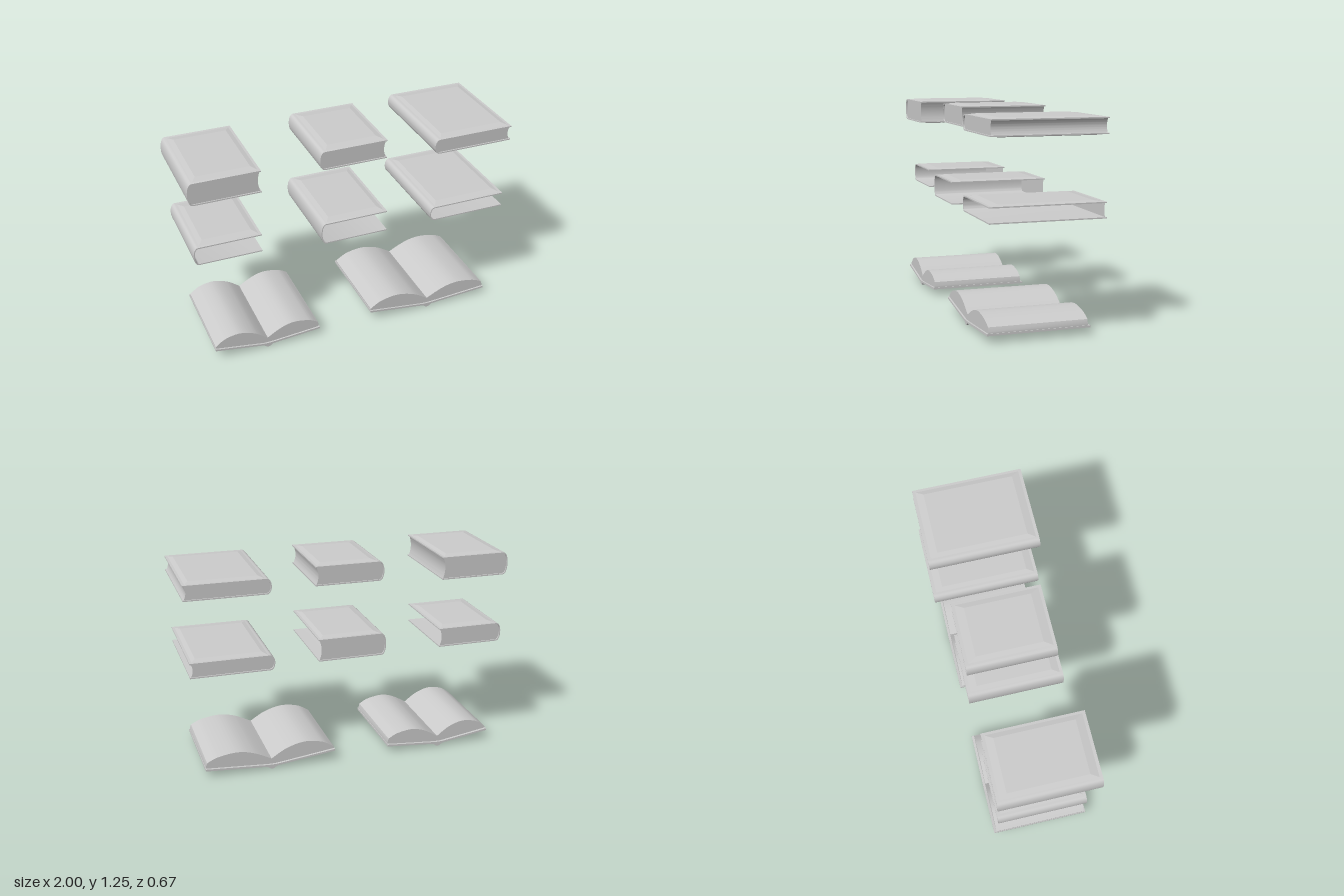
import * as THREE from 'three';
import { toCreasedNormals } from 'three/addons/utils/BufferGeometryUtils.js';
import { ConvexGeometry } from 'three/addons/geometries/ConvexGeometry.js';

const material = new THREE.MeshStandardMaterial({ color: 0xcccccc, side: THREE.DoubleSide });

function addMesh(parent, name, geometry) {
  const mesh = new THREE.Mesh(geometry, material);
  mesh.name = name;
  parent.add(mesh);
  return mesh;
}

// Extrudes an x-y outline from z0 to z1, smooth over curves and sharp at corners
function extrude(shape, z0, z1) {
  const geometry = new THREE.ExtrudeGeometry(shape, { depth: z1 - z0, bevelEnabled: false, curveSegments: 14 });
  geometry.translate(0, 0, z0);
  return toCreasedNormals(geometry, 0.6);
}

// Raised cover panel: a low frustum from height y to y + rise
function panel(x0, x1, z0, z1, y, rise, bevelX, bevelZ) {
  const points = [];
  for (const [h, bx, bz] of [[y, 0, 0], [y + rise, bevelX, bevelZ]]) {
    for (const x of [x0 + bx, x1 - bx]) {
      for (const z of [z0 + bz, z1 - bz]) points.push(new THREE.Vector3(x, h, z));
    }
  }
  return new ConvexGeometry(points);
}

// Closed book lying flat, spine towards -x; a hollow one keeps only the back wall of its pages
function closedBook({ x: [x0, x1], y: [y0, y1], z: [z0, z1], bevel, hollow }) {
  const book = new THREE.Group();
  book.name = hollow ? 'hollowBook' : 'closedBook';
  const rise = 0.006, t = 0.007, hinge = x0 + 0.03;
  const bottom = y0 + rise, top = y1 - rise;

  // Two boards joined by the rounded spine
  const cover = new THREE.Shape();
  cover.moveTo(x1, top);
  cover.lineTo(hinge, top);
  cover.bezierCurveTo(x0 - 0.009, top, x0 - 0.009, bottom, hinge, bottom);
  cover.lineTo(x1, bottom);
  cover.lineTo(x1, bottom + t);
  cover.lineTo(hinge, bottom + t);
  cover.bezierCurveTo(x0 - 0.001, bottom + t, x0 - 0.001, top - t, hinge, top - t);
  cover.lineTo(x1, top - t);
  cover.closePath();
  addMesh(book, 'cover', extrude(cover, z0, z1));

  // Raised panels above and below
  for (const [name, y, r] of [['topPanel', top, rise], ['bottomPanel', bottom, -rise]]) {
    addMesh(book, name, panel(x0 + 0.04, x1 - 0.015, z0 + 0.018, z1 - 0.018, y, r, bevel * 0.6, bevel));
  }

  // Page block with a hollowed fore edge
  const pages = new THREE.Shape();
  pages.moveTo(x1 - 0.006, bottom + t);
  pages.quadraticCurveTo(x1 - 0.03, (top + bottom) / 2, x1 - 0.006, top - t);
  pages.lineTo(hinge, top - t);
  pages.bezierCurveTo(x0 - 0.001, top - t, x0 - 0.001, bottom + t, hinge, bottom + t);
  pages.closePath();
  if (hollow) {
    const wall = new THREE.ShapeGeometry(pages, 14);
    wall.translate(0, 0, z0 + 0.008);
    addMesh(book, 'pageEnd', wall);
  } else {
    addMesh(book, 'pages', extrude(pages, z0 + 0.008, z1 - 0.008));
  }
  return book;
}

// Open book; the profile is stretched sideways by s
function openBook(cx, s) {
  const book = new THREE.Group();
  book.name = 'openBook';
  book.position.x = cx;
  const z0 = -0.28, z1 = 0.325, hx = 0.03, hy = 0.017, t = 0.012;

  const sides = [
    { side: -1, tip: [-0.332 * s, 0.064],
      curve: [[-0.325, 0.09], [-0.265, 0.13], [-0.174, 0.146], [-0.08, 0.118], [0, 0.062]] },
    { side: 1, tip: [0.338 * s, 0.042],
      curve: [[0.328, 0.088], [0.27, 0.118], [0.173, 0.133], [0.09, 0.113], [0, 0.062]] },
  ];
  for (const { side, tip: [tx, ty], curve } of sides) {
    const label = side > 0 ? 'left' : 'right';

    // Sloping board with its panel beneath
    const board = new THREE.Shape([
      [side * hx, hy], [tx, ty], [tx, ty + t], [side * hx, hy + t],
    ].map(([x, y]) => new THREE.Vector2(x, y)));
    addMesh(book, label + 'Board', extrude(board, z0, z1));
    const dx = Math.abs(tx) - hx, length = Math.hypot(dx, ty - hy);
    const [a, b] = side > 0 ? [0.012, length - 0.015] : [0.015 - length, -0.012];
    const under = addMesh(book, label + 'Panel', panel(a, b, z0 + 0.018, z1 - 0.018, 0, -0.006, 0.025, 0.04));
    under.position.set(side * hx, hy, 0);
    under.rotation.z = side * Math.atan2(ty - hy, dx);

    // Flat ledge at the board, then the arched page surface
    const pages = new THREE.Shape();
    pages.moveTo(0, 0.025);
    pages.lineTo(tx - side * 0.004, ty + t);
    pages.lineTo(tx - side * 0.004, ty + t + 0.01);
    pages.lineTo(curve[0][0] * s, curve[0][1]);
    pages.splineThru(curve.slice(1).map(([x, y]) => new THREE.Vector2(x * s, y)));
    pages.closePath();
    addMesh(book, label + 'Pages', extrude(pages, z0 + 0.015, z1 - 0.01));
  }

  // Folded spine strip
  const spine = new THREE.Shape([
    [-hx, hy], [-0.012, 0.004], [0, 0], [0.012, 0.004], [hx, hy], [hx, hy + t], [0, 0.028], [-hx, hy + t],
  ].map(([x, y]) => new THREE.Vector2(x, y)));
  addMesh(book, 'spine', extrude(spine, z0, z1));
  return book;
}

export function createModel() {
  const model = new THREE.Group();
  model.name = 'books';
  const books = [
    // Upper row
    { x: [-1, -0.575], y: [1.09, 1.24], z: [-0.27, 0.32], bevel: 0.045 },
    { x: [-0.205, 0.215], y: [1.118, 1.247], z: [-0.265, 0.265], bevel: 0.05 },
    { x: [0.492, 0.998], y: [1.118, 1.222], z: [-0.335, 0.335], bevel: 0.045 },
    // Middle row
    { x: [-0.98, -0.57], y: [0.66, 0.788], z: [-0.265, 0.265], bevel: 0.05, hollow: true },
    { x: [-0.222, 0.2], y: [0.652, 0.8], z: [-0.27, 0.32], bevel: 0.045, hollow: true },
    { x: [0.482, 0.98], y: [0.658, 0.762], z: [-0.335, 0.335], bevel: 0.045, hollow: true },
  ];
  for (const book of books) model.add(closedBook(book));
  model.add(openBook(-0.578, 1), openBook(0.503, 1.2));
  return model;
}
